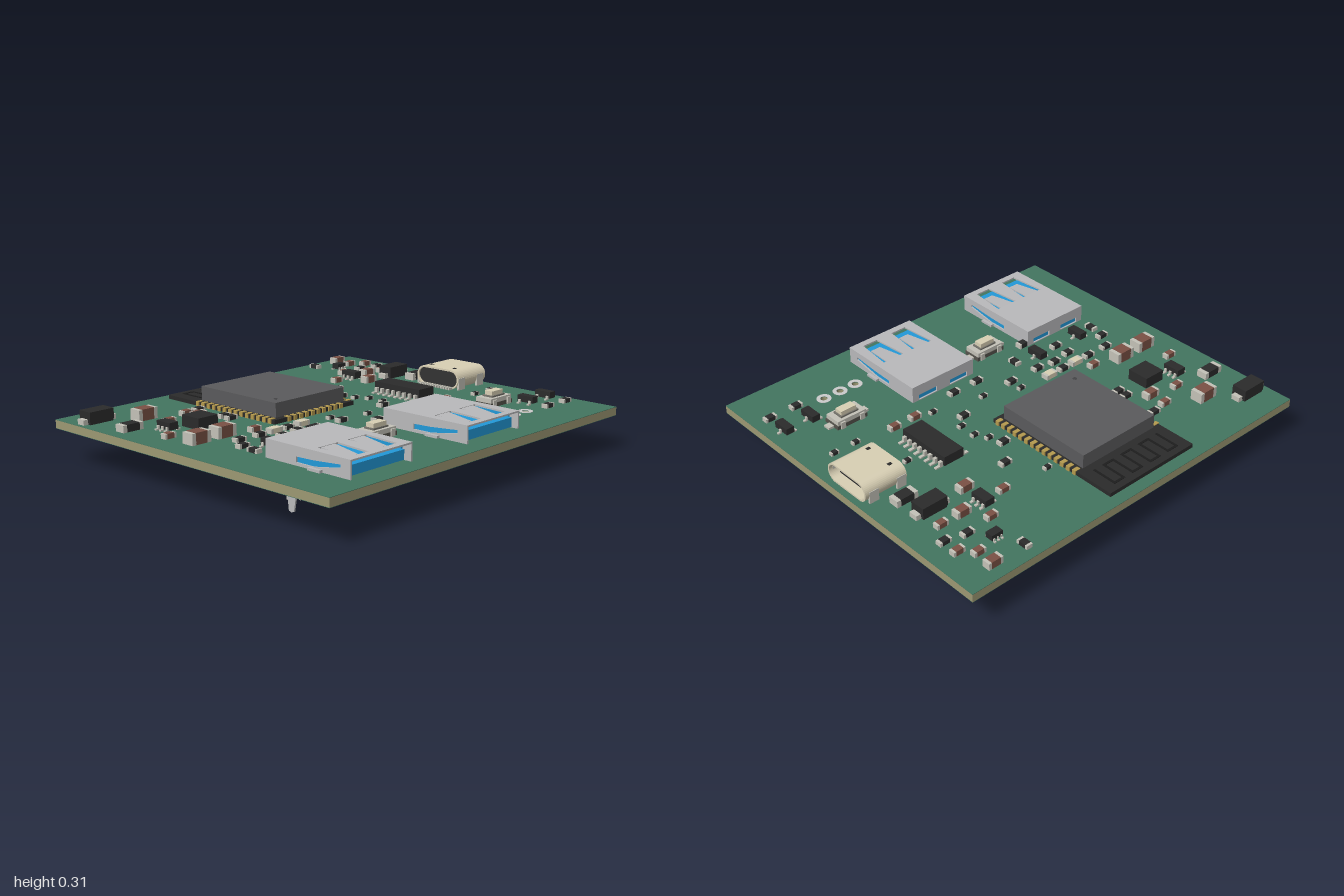
import * as THREE from 'three';

const TOP = 0.208; // upper face of the board
const mats = {};
const mat = (c) => (mats[c] ??= new THREE.MeshStandardMaterial({ color: c }));
const GREEN = 0x437560, TAN = 0x9c9873, BLACK = 0x2b2b2b, METAL = 0xc4c2b8, STEEL = 0xb9b9bb;
const BLUE = 0x2299d8, GOLD = 0xb59a4e, BROWN = 0x7a5145, CREAM = 0xd8cfb4;

function add(parent, name, geo, color, x = 0, y = 0, z = 0) {
  const m = new THREE.Mesh(geo, mat(color));
  m.name = name;
  m.position.set(x, y, z);
  parent.add(m);
  return m;
}
// box placed by its centre in x, z and by its lower face in y
const box = (p, name, color, w, h, d, x, y, z) =>
  add(p, name, new THREE.BoxGeometry(w, h, d), color, x, y + h / 2, z);
function group(parent, name, x = 0, y = 0, z = 0, turn = 0) {
  const g = new THREE.Group();
  g.name = name;
  g.position.set(x, y, z);
  g.rotation.y = turn;
  parent.add(g);
  return g;
}
const vec = (pts) => pts.map(([a, b]) => new THREE.Vector2(a, b));
function plate(pts, holes, depth) {
  const s = new THREE.Shape(vec(pts));
  s.holes = holes.map((h) => (h instanceof THREE.Path ? h : new THREE.Path(vec(h))));
  return new THREE.ExtrudeGeometry(s, { depth, bevelEnabled: false, curveSegments: 12 });
}
// outline (x, z), thickness downwards
const flat = (pts, holes, t) => plate(pts, holes, t).rotateX(Math.PI / 2);
// outline (z, y), thickness towards -x
const upright = (pts, holes, t) => plate(pts, holes, t).rotateY(-Math.PI / 2);
const rect = (x0, z0, x1, z1) => [[x0, z0], [x1, z0], [x1, z1], [x0, z1]];
const circle = (x, z, r) => new THREE.Path().absarc(x, z, r, 0, Math.PI * 2, true);

// chip resistor, capacitor or fuse: body with two end caps
function chip(parent, name, x, z, len, wid, h, color, turn = 0) {
  const g = group(parent, name, x, TOP, z, turn);
  box(g, 'body', color, len * 0.62, h, wid, 0, 0, 0);
  for (const s of [-1, 1]) box(g, 'endCap', METAL, len * 0.2, h * 0.97, wid, s * len * 0.4, 0, 0);
}
// moulded package with gull-wing leads along both long sides
function leaded(parent, name, x, z, w, d, h, left, right, pitch, reach, turn = 0) {
  const g = group(parent, name, x, TOP, z, turn);
  box(g, 'body', BLACK, w, h - 0.008, d, 0, 0.008, 0);
  [[left, -1], [right, 1]].forEach(([n, s]) => {
    const step = n === 2 && right === 1 ? pitch * 2 : pitch;
    for (let i = 0; i < n; i++) {
      const lz = (i - (n - 1) / 2) * step;
      box(g, 'leadFoot', METAL, reach * 0.6, 0.007, pitch * 0.42, s * (w / 2 + reach * 0.7), 0, lz);
      box(g, 'leadArm', METAL, reach * 0.4, h * 0.5, pitch * 0.42, s * (w / 2 + reach * 0.2), 0, lz);
    }
  });
  return g;
}

// large two-terminal diode
function diode(parent, x, z) {
  const g = group(parent, 'powerDiode', x, TOP, z);
  box(g, 'body', BLACK, 0.135, 0.05, 0.078, 0, 0.01, 0);
  box(g, 'bodyBase', BLACK, 0.13, 0.012, 0.074, 0, 0, 0);
  for (const s of [-1, 1]) box(g, 'terminal', METAL, 0.028, 0.025, 0.045, s * 0.078, 0, 0);
}

function button(parent, x, z) {
  const g = group(parent, 'pushButton', x, TOP, z);
  box(g, 'base', 0x55534c, 0.17, 0.02, 0.095, 0, 0, 0);
  box(g, 'cover', METAL, 0.16, 0.022, 0.09, 0, 0.02, 0);
  box(g, 'collar', 0x77756d, 0.1, 0.008, 0.058, 0, 0.042, 0);
  box(g, 'cap', CREAM, 0.085, 0.025, 0.044, 0, 0.045, 0);
  for (const s of [-1, 1]) {
    box(g, 'terminal', METAL, 0.03, 0.012, 0.036, s * 0.1, 0, 0);
    for (const t of [-1, 1]) box(g, 'sideTab', METAL, 0.025, 0.035, 0.008, s * 0.055, 0, t * 0.05);
  }
}

// wide socket with a stamped shell, blue insulator and legs through the board
function socket(parent, x) {
  const g = group(parent, 'wideSocket', x);
  const W = 0.188, t = 0.008, z0 = 0.3, z1 = 0.785;
  const windows = [-1, 1].map((s) => {
    const c = s * 0.088;
    return [[c - 0.06, 0.565], [c + 0.06, 0.565], [c + 0.042, 0.75], [c - 0.042, 0.75]];
  });
  add(g, 'shellTop', flat(rect(-W, z0, W, z1), windows, t), STEEL, 0, 0.292, 0);
  add(g, 'shellBottom', flat(rect(-W, 0.5, W, z1), windows, t), STEEL, 0, 0.138, 0);
  const side = [[z0, 0.292], [z1, 0.292], [z1, 0.13], [0.485, 0.13], [0.48, 0.09], [0.465, 0.005],
    [0.45, 0], [0.435, 0.005], [0.425, 0.09], [z0, 0.09]];
  const slot = [[0.73, 0.262], [0.58, 0.25], [0.48, 0.247], [0.48, 0.222], [0.58, 0.222], [0.73, 0.247]];
  for (const s of [-1, 1]) {
    add(g, 'shellSide', upright(side, [slot], t), STEEL, s > 0 ? W : -W + t, 0, 0);
    box(g, 'sideTab', STEEL, 0.018, 0.1, 0.07, s * 0.196, 0.12, 0.595);
    // springs pressed out of the top and bottom windows
    for (const v of [-1, 1]) {
      const c = s * 0.088, y = v > 0 ? 0.288 : 0.134;
      const spring = flat([[c - 0.042, 0.565], [c + 0.042, 0.565], [c + 0.027, 0.71], [c - 0.027, 0.71]], [], 0.006);
      const p = spring.attributes.position;
      for (let i = 0; i < p.count; i++) p.setY(i, p.getY(i) - v * 0.1 * (p.getZ(i) - 0.565));
      spring.computeVertexNormals();
      add(g, 'spring', spring, STEEL, 0, y + 0.002, 0);
    }
  }
  const back = rect(-W, 0.09, W, 0.292);
  add(g, 'shellBack', plate(back, [rect(-0.15, 0.212, -0.04, 0.238), rect(0.04, 0.212, 0.15, 0.238)], t), STEEL, 0, 0, z0);
  box(g, 'insulator', BLUE, 0.35, 0.19, 0.16, 0, 0.094, 0.389);
  add(g, 'insulatorNose', upright([[0.46, 0.155], [0.5, 0.15], [0.54, 0.1], [0.5, 0.095], [0.46, 0.094]], [], 0.35), BLUE, 0.175, 0, 0);
  box(g, 'tongue', BLUE, 0.33, 0.045, 0.3, 0, 0.215, 0.61);
  for (const s of [-1, 1]) box(g, 'liningSide', BLUE, 0.012, 0.07, 0.28, s * 0.172, 0.21, 0.6);
  // contact pins in two rows
  for (let i = 0; i < 9; i++) {
    const front = i % 2;
    box(g, 'pin', METAL, 0.012, 0.09, 0.009, (i - 4) * 0.031, 0.01, front ? 0.335 : 0.378);
  }
}

// small rounded port opening towards +x
function roundedPort(parent) {
  const g = group(parent, 'roundedPort', 0, 0.258, -0.025);
  const stadium = (half, r) => {
    const s = new THREE.Shape();
    s.absarc(half, 0, r, -Math.PI / 2, Math.PI / 2, false);
    s.absarc(-half, 0, r, Math.PI / 2, Math.PI * 1.5, false);
    return s.getPoints(10).slice(0, -1).map((p) => [p.x, p.y]);
  };
  const outer = stadium(0.085, 0.049), inner = stadium(0.085, 0.04);
  add(g, 'shell', upright(outer, [inner], 0.225), CREAM, 0.97, 0, 0);
  add(g, 'rearFill', upright(inner, [], 0.07), 0x333333, 0.825, 0, 0);
  box(g, 'tongue', 0x333333, 0.12, 0.02, 0.17, 0.88, -0.01, 0);
  for (const s of [-1, 1]) {
    for (const x of [0.775, 0.925]) box(g, 'mountingTab', METAL, 0.05, 0.06, 0.012, x, -0.05, s * 0.13);
    box(g, 'shellSlot', BLACK, 0.02, 0.002, 0.016, 0.79, 0.0485, s * 0.075);
  }
  for (let i = 0; i < 12; i++) box(g, 'contact', METAL, 0.03, 0.012, 0.009, 0.735, -0.05, (i - 5.5) * 0.017);
}

function radioModule(parent) {
  const g = group(parent, 'radioModule', -0.105, TOP, 0);
  box(g, 'carrier', BLACK, 0.53, 0.02, 0.75, 0, 0, -0.445);
  add(g, 'shield', flat(rect(-0.228, -0.615, 0.228, -0.1), [], 0.07), 0x5a5a5c, 0, 0.09, 0);
  add(g, 'polarityDot', new THREE.CylinderGeometry(0.01, 0.01, 0.002, 12), 0x444446, -0.17, 0.0905, -0.16);
  for (let i = 0; i < 14; i++)
    for (const s of [-1, 1]) box(g, 'edgePad', GOLD, 0.032, 0.024, 0.02, s * 0.255, -0.001, -0.6 + i * 0.0385);
  for (let i = 0; i < 10; i++) box(g, 'edgePad', GOLD, 0.02, 0.024, 0.03, (i - 4.5) * 0.0385, -0.001, -0.078);
  // meandering antenna
  for (let i = 0; i < 8; i++) {
    box(g, 'antennaTrace', 0x1d1d1d, 0.012, 0.002, 0.13, -0.2 + i * 0.057, 0.02, -0.72);
    if (i < 7) box(g, 'antennaLink', 0x1d1d1d, 0.057, 0.002, 0.012, -0.1715 + i * 0.057, 0.02, i % 2 ? -0.66 : -0.78);
  }
}

export function createModel() {
  const model = new THREE.Group();
  model.name = 'circuitBoard';

  // board core between two green mask layers, with three header holes
  const padX = [0.44, 0.53, 0.625], padZ = 0.615;
  const outline = rect(-1, -0.88, 1, 0.88);
  const holes = () => padX.map((x) => circle(x, padZ, 0.017));
  add(model, 'boardCore', flat(outline, holes(), 0.039), TAN, 0, TOP - 0.002, 0);
  add(model, 'topMask', flat(outline, holes(), 0.002), GREEN, 0, TOP, 0);
  add(model, 'bottomMask', flat(outline, holes(), 0.002), GREEN, 0, TOP - 0.041, 0);
  for (const x of padX)
    for (const y of [TOP + 0.002, TOP - 0.043]) {
      const ring = new THREE.Shape().absarc(0, 0, 0.036, 0, Math.PI * 2);
      ring.holes.push(circle(0, 0, 0.017));
      const geo = new THREE.ExtrudeGeometry(ring, { depth: 0.002, bevelEnabled: false }).rotateX(Math.PI / 2);
      add(model, 'headerPad', geo, 0xd8d8d4, x, y, padZ);
    }

  radioModule(model);
  for (const x of [-0.592, 0.15]) socket(model, x);
  roundedPort(model);
  button(model, -0.21, 0.41);
  button(model, 0.645, 0.41);
  diode(model, -0.89, -0.71);
  diode(model, 0.785, -0.36);
  box(model, 'inductor', BLACK, 0.115, 0.055, 0.115, -0.62, TOP, -0.3);

  // leaded packages
  leaded(model, 'interfaceChip', 0.495, -0.035, 0.11, 0.29, 0.055, 8, 8, 0.036, 0.04);
  leaded(model, 'regulator', 0.585, -0.475, 0.05, 0.09, 0.042, 3, 3, 0.03, 0.02);
  leaded(model, 'protectionArray', -0.765, -0.355, 0.05, 0.09, 0.042, 3, 3, 0.03, 0.02);
  leaded(model, 'smallChip', 0.705, -0.68, 0.04, 0.06, 0.035, 3, 3, 0.02, 0.012, Math.PI / 2);
  for (const [x, z] of [[-0.65, 0.2], [-0.375, 0.2], [0.765, 0.525], [0.91, 0.525]])
    leaded(model, 'transistor', x, z, 0.042, 0.09, 0.04, 2, 1, 0.03, 0.02);
  chip(model, 'fuse', -0.885, -0.475, 0.115, 0.055, 0.035, BLACK);
  chip(model, 'fuse', 0.825, -0.235, 0.115, 0.055, 0.035, BLACK);
  chip(model, 'smallDiode', -0.385, 0.32, 0.06, 0.035, 0.025, BLACK);
  for (const x of [-0.47, -0.295]) chip(model, 'indicator', x, 0.03, 0.07, 0.04, 0.025, CREAM);

  // capacitors
  for (const [x, z] of [[-0.71, -0.59], [-0.82, -0.09], [-0.67, -0.09]])
    chip(model, 'largeCapacitor', x, z, 0.108, 0.065, 0.055, BROWN);
  for (const [x, z] of [[0.82, -0.8], [-0.53, -0.415], [0.705, -0.475], [0.585, -0.355]])
    chip(model, 'capacitor', x, z, 0.078, 0.042, 0.035, BROWN);
  for (const [x, z] of [[-0.53, -0.505], [-0.68, -0.445], [-0.855, -0.24], [-0.515, -0.05], [0.82, -0.71],
    [0.63, -0.575], [0.47, -0.475], [0.82, -0.475], [0.41, 0.2], [0.53, 0.2], [0.88, -0.65]])
    chip(model, 'smallCapacitor', x, z, 0.062, 0.032, 0.025, BROWN);

  // resistors: lying along x, then along z, then the smallest size
  for (const [x, z] of [[-0.44, -0.52], [-0.44, -0.34], [-0.44, -0.29], [0.335, -0.34], [0.235, -0.22],
    [0.235, 0.055], [-0.12, 0.115], [0, 0.23], [0.145, 0.23], [-0.68, 0.03], [-0.56, 0.03], [-0.385, 0.03],
    [-0.74, 0.115], [-0.5, 0.115], [-0.395, 0.1], [-0.295, 0.115], [-0.5, 0.2], [0.775, -0.59],
    [0.88, -0.565], [0.765, 0.645], [0.91, 0.645]])
    chip(model, 'resistor', x, z, 0.062, 0.032, 0.02, BLACK);
  for (const [x, z] of [[-0.755, 0.205], [-0.25, 0.23], [0.645, -0.8]])
    chip(model, 'resistor', x, z, 0.062, 0.032, 0.02, BLACK, Math.PI / 2);
  for (const [x, z] of [[0.22, -0.49], [0.26, -0.15], [0.295, -0.09], [0.295, 0], [-0.12, 0.045],
    [0.06, 0.115], [0.32, 0.175], [0.73, 0.23], [0.85, 0.23], [0.645, -0.035]])
    chip(model, 'smallResistor', x, z, 0.042, 0.022, 0.016, BLACK);
  return model;
}
